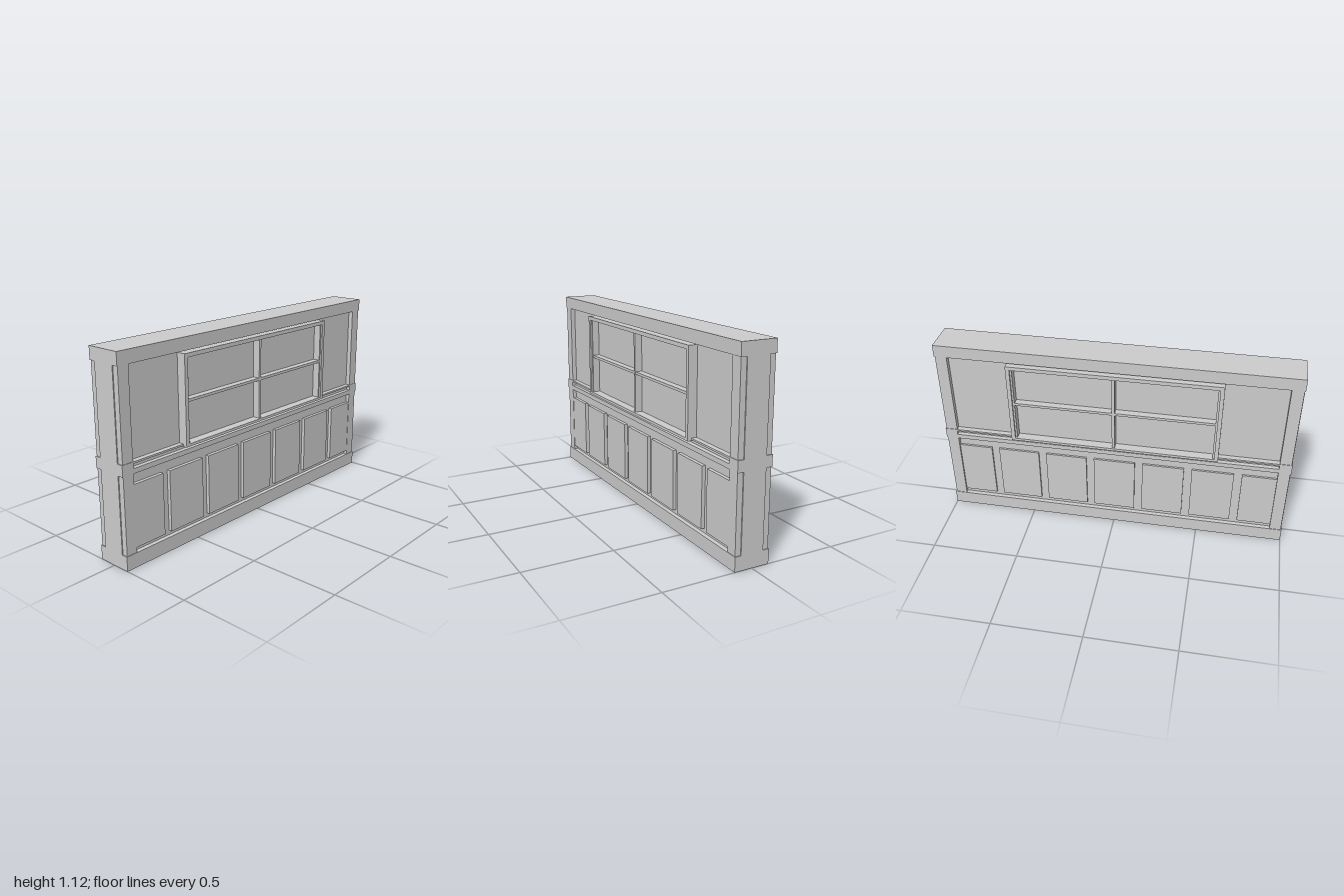
import * as THREE from 'three';

const material = new THREE.MeshStandardMaterial({ color: 0xcccccc, flatShading: true });

// Box given by its limits on each axis
function slab(parent, name, x0, x1, y0, y1, z0, z1) {
  const mesh = new THREE.Mesh(new THREE.BoxGeometry(x1 - x0, y1 - y0, z1 - z0), material);
  mesh.position.set((x0 + x1) / 2, (y0 + y1) / 2, (z0 + z1) / 2);
  mesh.name = name;
  parent.add(mesh);
  return mesh;
}

// Everything that belongs to one face of the wall, built towards +z
function createFace(name, panelFront) {
  const face = new THREE.Group();
  face.name = name;

  // Row of raised panels; the outer two run into the stiles
  for (let i = -3; i <= 3; i++) {
    const x = i * 0.285;
    const x0 = Math.max(x - 0.12, -0.94);
    const x1 = Math.min(x + 0.12, 0.94);
    slab(face, 'raisedPanel', x0, x1, 0.105, 0.445, 0.06, panelFront);
  }

  // Outer frame of the window
  const W = 0.592, B = 0.55, T = 1.042, t = 0.022;
  for (const s of [-1, 1]) {
    const a = s * W, b = s * (W - t);
    slab(face, 'frameSide', Math.min(a, b), Math.max(a, b), B, T, 0.06, 0.122);
  }
  slab(face, 'frameTop', -W + t, W - t, T - t, T, 0.06, 0.122);
  slab(face, 'frameBottom', -W + t, W - t, B, B + t - 0.007, 0.06, 0.122);

  // Inner beads and the cross of glazing bars
  const w = W - t, bead = 0.01;
  for (const x of [-w, w - bead]) slab(face, 'bead', x, x + bead, B + 0.01, T - 0.01, 0.06, 0.112);
  slab(face, 'verticalBar', -0.008, 0.008, B + 0.01, T - 0.01, 0.06, 0.112);
  slab(face, 'crossBar', -w, w, 0.785, 0.8, 0.06, 0.11);
  return face;
}

export function createModel() {
  const model = new THREE.Group();
  model.name = 'panelledWall';

  // Recessed core: lower field, groove floor and upper field
  slab(model, 'lowerField', -0.95, 0.95, 0.07, 0.51, -0.075, 0.075);
  slab(model, 'grooveFloor', -0.95, 0.95, 0.51, 0.56, -0.075, 0.075);
  slab(model, 'upperField', -0.95, 0.95, 0.56, 1.06, -0.07, 0.07);

  // Full-depth horizontal bands
  const bands = [
    ['base', 0, 0.08],
    ['middleRail', 0.503, 0.53],
    ['ledge', 0.555, 0.565],
    ['topRail', 1.05, 1.12],
  ];
  for (const [name, y0, y1] of bands) slab(model, name, -1, 1, y0, y1, -0.1, 0.1);

  // End stiles, set back slightly, with a raised strip on each end
  for (const s of [-1, 1]) {
    const span = (a, b) => (s > 0 ? [a, b] : [-b, -a]);
    slab(model, 'railEnd', ...span(0.93, 1), 0.53, 0.555, -0.1, 0.1);
    for (const [y0, y1] of [[0.08, 0.503], [0.565, 1.05]]) {
      slab(model, 'stile', ...span(0.93, 0.995), y0, y1, -0.097, 0.097);
      slab(model, 'endStrip', ...span(0.95, 1), y0, y1, -0.065, 0.065);
    }
  }

  model.add(createFace('frontFace', 0.095));
  const back = createFace('backFace', 0.086);
  back.rotation.y = Math.PI;
  model.add(back);
  return model;
}
